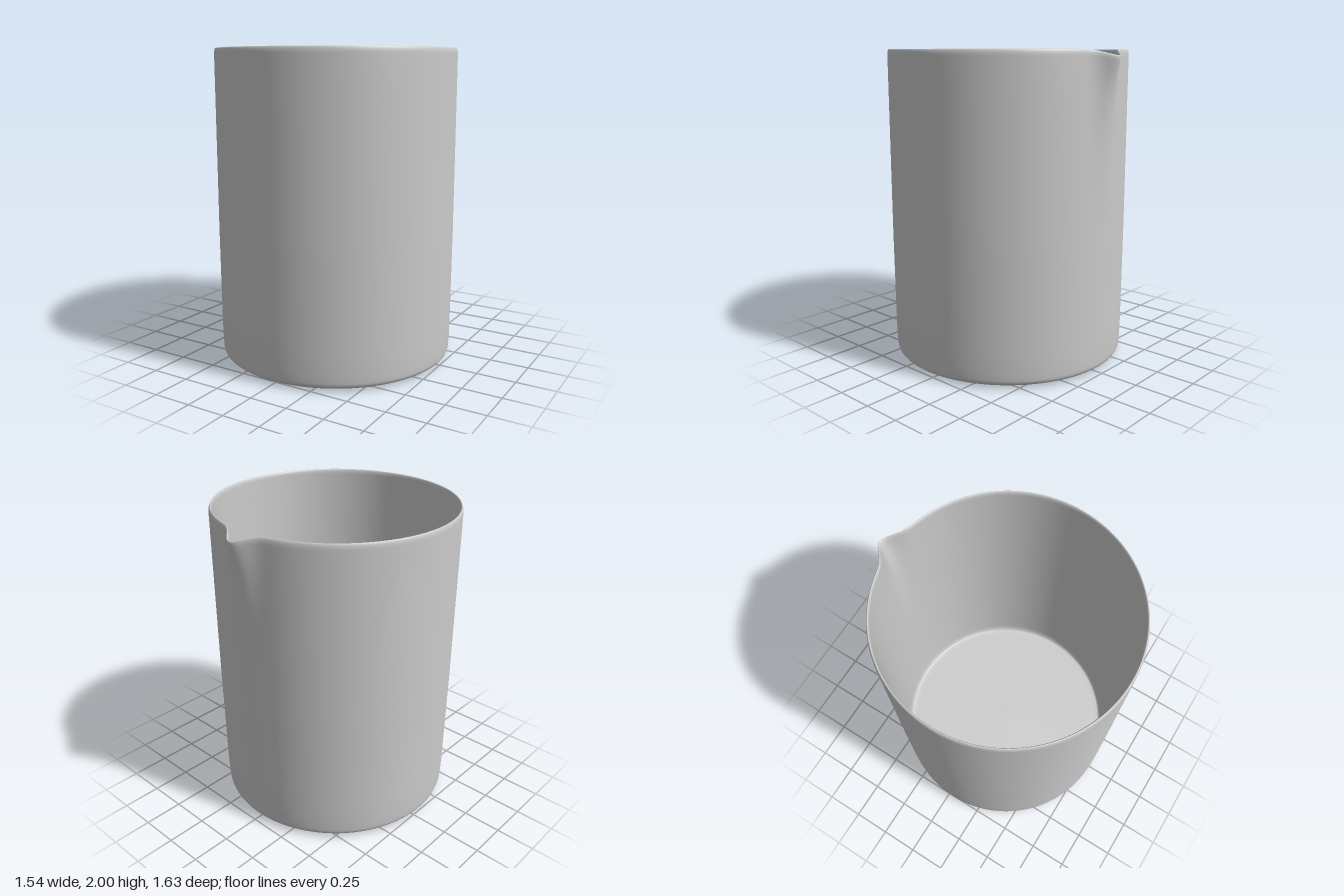
import * as THREE from 'three';
import { mergeVertices } from 'three/addons/utils/BufferGeometryUtils.js';

const RADIUS = 0.77, OFFSET_Z = 0.043;

// Closed wall profile: under the base, up the outside, over the rim, down the inside
function wallProfile() {
  const path = new THREE.Path();
  path.moveTo(0, 0);
  path.lineTo(0.4, 0.004);
  path.lineTo(0.68, 0.012);
  path.lineTo(0.725, 0.016);
  path.quadraticCurveTo(0.757, 0.02, 0.76, 0.055);
  path.quadraticCurveTo(0.765, 0.12, 0.766, 0.25);
  for (let i = 1; i <= 24; i++) path.lineTo(0.766 + 0.004 * Math.min(1, i / 8), 0.25 + 1.71 * i / 24);
  path.quadraticCurveTo(RADIUS, 1.992, 0.761, 2);
  path.quadraticCurveTo(0.752, 1.998, 0.751, 1.97);
  for (let i = 1; i <= 24; i++) path.lineTo(0.751 - 0.004 * i / 24, 1.97 - 1.87 * i / 24);
  path.quadraticCurveTo(0.745, 0.04, 0.725, 0.036);
  path.lineTo(0.69, 0.034);
  path.lineTo(0, 0.03);
  return path.getPoints(6);
}

// Pull the wall outward at the back into a pouring lip that fades downwards
function pullSpout(geometry) {
  const p = geometry.attributes.position;
  for (let i = 0; i < p.count; i++) {
    const x = p.getX(i), y = p.getY(i), z = p.getZ(i);
    if (z > 0 || Math.hypot(x, z) < 0.73) continue;
    const side = Math.exp(-0.5 * (x / 0.062) ** 2);
    const rise = Math.exp((y - 2) / 0.33);
    const top = THREE.MathUtils.smoothstep(y, 1.7, 2);
    p.setZ(i, z - 0.092 * side * rise);
    p.setY(i, y - 0.035 * side * top);
  }
}

export function createModel() {
  const group = new THREE.Group();
  group.name = 'beaker';

  let geometry = new THREE.LatheGeometry(wallProfile(), 256);
  geometry.deleteAttribute('uv');
  geometry.deleteAttribute('normal');
  pullSpout(geometry);
  // Weld the seam so the shading runs smoothly all round
  geometry = mergeVertices(geometry, 1e-5);
  geometry.computeVertexNormals();

  const material = new THREE.MeshStandardMaterial({ color: 0xcccccc, side: THREE.DoubleSide });
  const vessel = new THREE.Mesh(geometry, material);
  vessel.name = 'vesselWithSpout';
  vessel.position.z = OFFSET_Z;
  group.add(vessel);
  return group;
}
